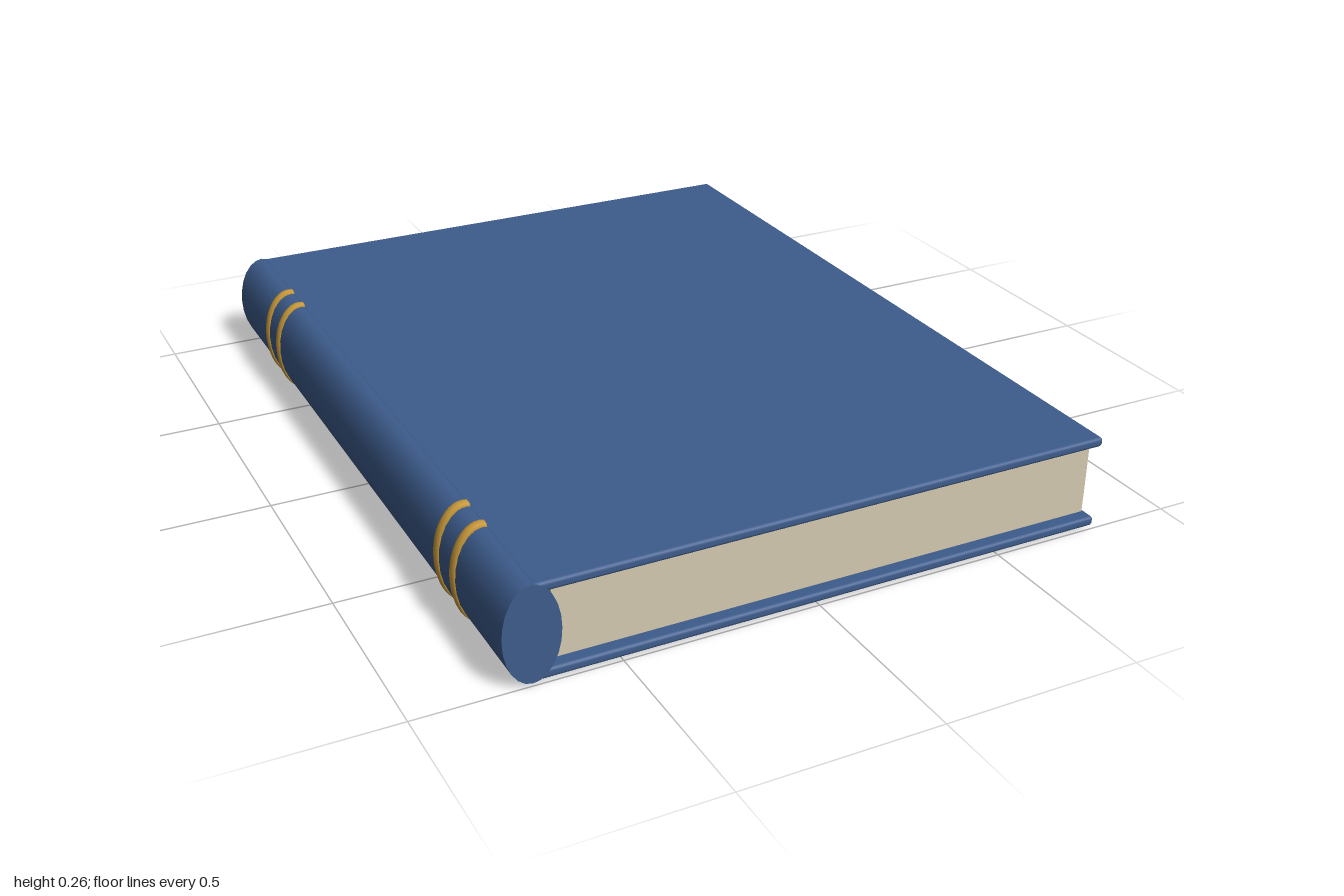
import * as THREE from 'three';
import { RoundedBoxGeometry } from 'three/addons/geometries/RoundedBoxGeometry.js';

function material(name, color) {
  const m = new THREE.MeshStandardMaterial({ color });
  m.name = name;
  return m;
}

export function createModel() {
  const book = new THREE.Group();
  book.name = 'book';
  const blue = material('coverBlue', 0x3d5c8c);
  const cream = material('pageCream', 0xd3c9b0);
  const gold = material('bandGold', 0xc99a3a);

  const add = (name, geometry, mat, x, y, z) => {
    const mesh = new THREE.Mesh(geometry, mat);
    mesh.name = name;
    mesh.position.set(x, y, z);
    book.add(mesh);
  };

  const midY = 0.13, spineX = -0.715, spineRx = 0.07, spineRy = 0.123;

  // Two thin boards with softened edges
  for (const [name, side] of [['topCover', 1], ['bottomCover', -1]]) {
    add(name, new RoundedBoxGeometry(1.495, 0.025, 2, 3, 0.009), blue, 0.0375, midY + side * 0.1095, 0);
  }

  // Page block, set back from the board edges
  add('pages', new THREE.BoxGeometry(1.43, 0.196, 1.93), cream, 0.06, midY, 0);

  // Oval spine running the full height of the book
  const spine = new THREE.CylinderGeometry(1, 1, 2, 24);
  spine.rotateX(Math.PI / 2).scale(spineRx, spineRy, 1);
  add('spine', spine, blue, spineX, midY, 0);

  // Raised bands wrapped around the outer half of the spine
  const points = [];
  for (let i = 0; i <= 16; i++) {
    const a = Math.PI * (0.45 + 1.1 * i / 16);
    points.push(new THREE.Vector3(Math.cos(a) * (spineRx - 0.001), Math.sin(a) * spineRy, 0));
  }
  const band = new THREE.TubeGeometry(new THREE.CatmullRomCurve3(points), 32, 0.007, 8);
  band.scale(1, 1, 2.2);
  for (const z of [-0.72, -0.62, 0.62, 0.72]) add('spineBand', band, gold, spineX, midY, z);

  return book;
}
